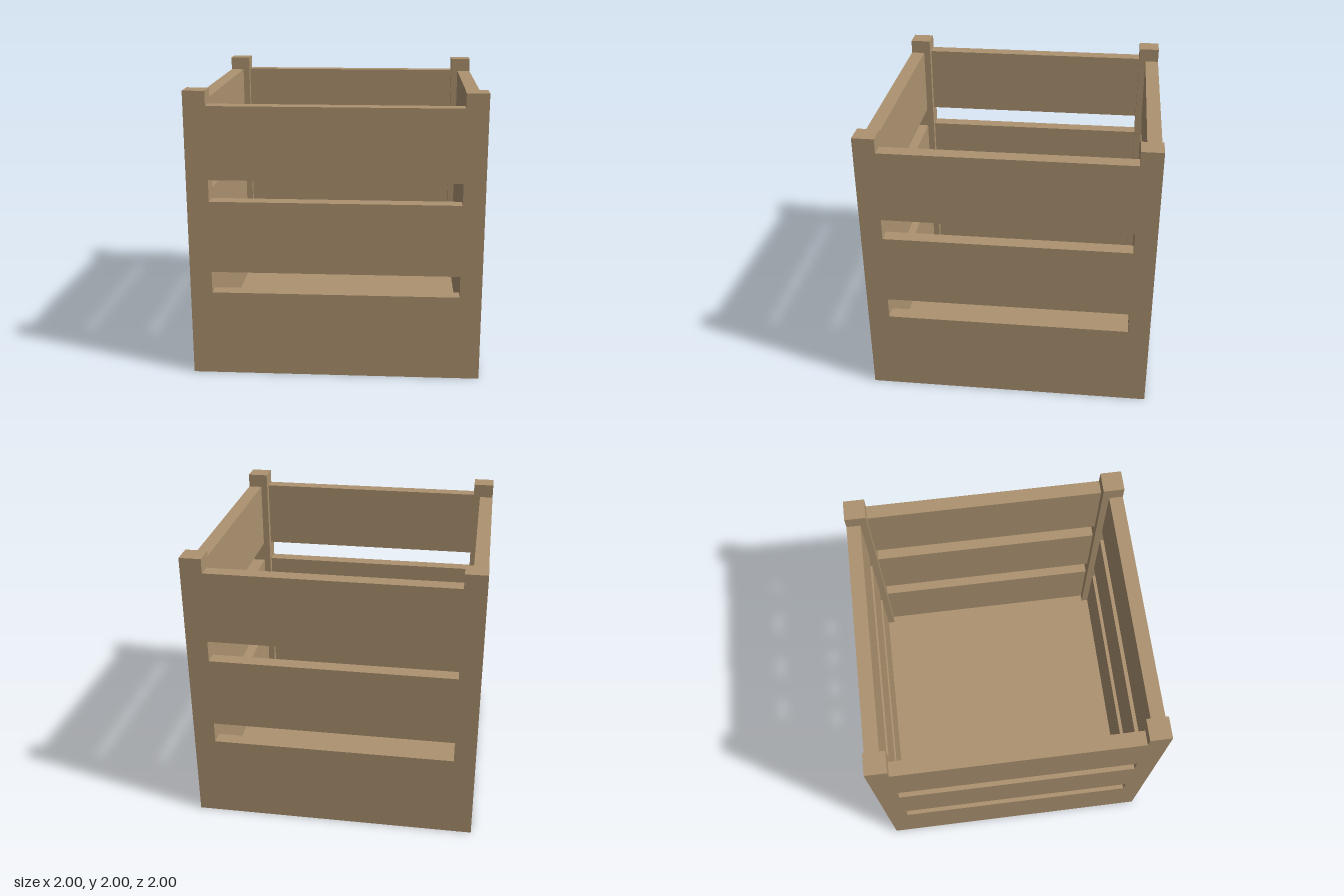
import * as THREE from 'three';

export function createModel() {
  const crate = new THREE.Group();
  crate.name = 'crate';
  const wood = new THREE.MeshStandardMaterial({ color: 0xac9270 });
  wood.name = 'wood';

  const floorH = 0.1, post = 0.15, slatT = 0.1, slatH = 0.5, gap = 0.15;

  const addBox = (parent, name, w, h, d, x, y, z) => {
    const mesh = new THREE.Mesh(new THREE.BoxGeometry(w, h, d), wood);
    mesh.name = name;
    mesh.position.set(x, y + h / 2, z); // y is the underside
    parent.add(mesh);
  };

  // Solid floor
  addBox(crate, 'floor', 2, floorH, 2, 0, 0, 0);

  // Each side: one corner post and three slats, flush on the outside
  ['front', 'left', 'back', 'right'].forEach((sideName, i) => {
    const side = new THREE.Group();
    side.name = sideName + 'Side';
    side.rotation.y = (i * Math.PI) / 2;
    const c = 1 - post / 2;
    addBox(side, 'cornerPost', post, 2 - floorH, post, c, floorH, c);
    for (let k = 0; k < 3; k++) {
      addBox(side, 'slat', 2 - 2 * post, slatH, slatT, 0, floorH + k * (slatH + gap), 1 - slatT / 2);
    }
    crate.add(side);
  });

  return crate;
}
